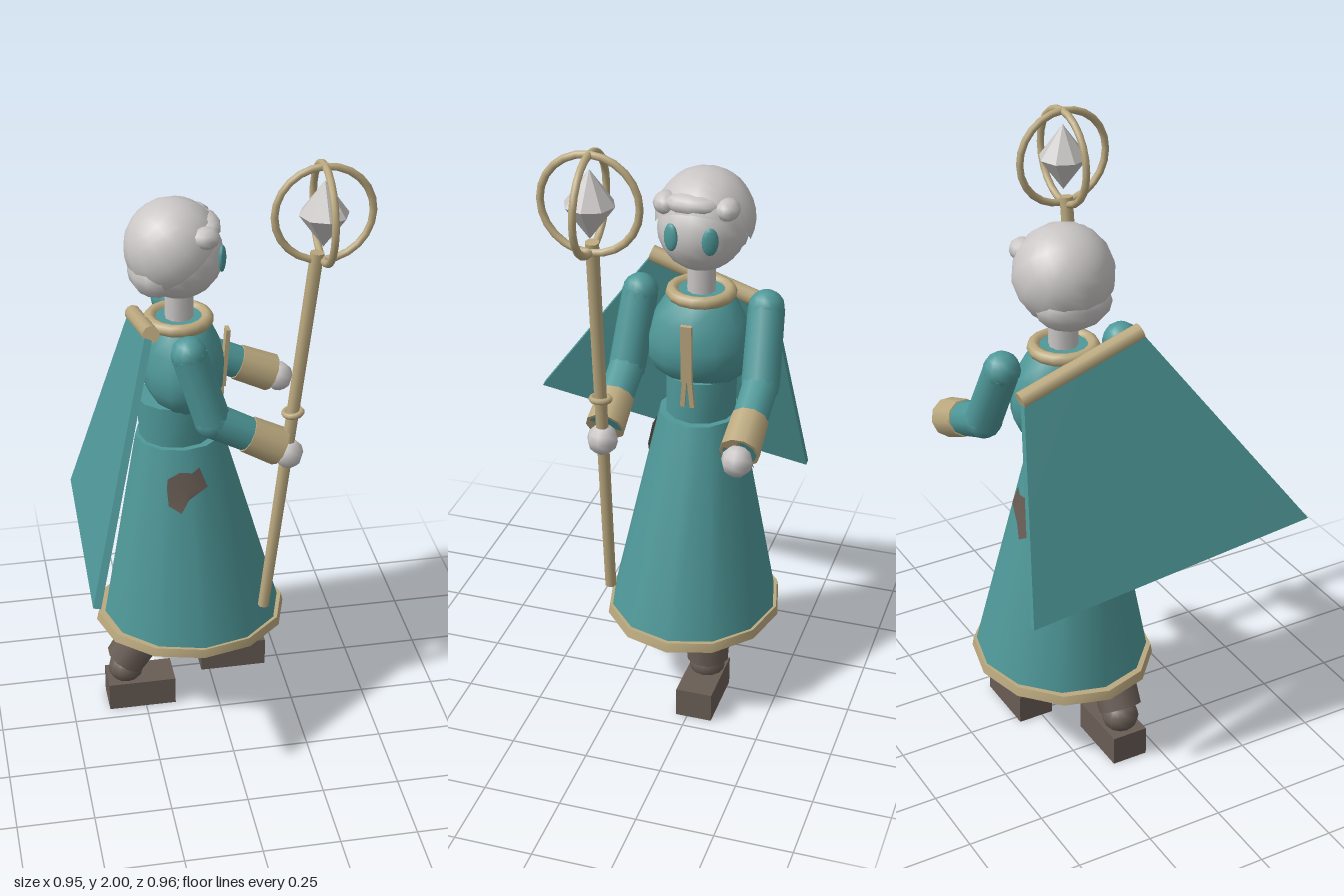
import * as THREE from 'three';
import { mergeVertices } from 'three/addons/utils/BufferGeometryUtils.js';

const mat = (name, color, extra = {}) => {
  const m = new THREE.MeshStandardMaterial({ color, ...extra });
  m.name = name;
  return m;
};
const V = (x, y, z) => new THREE.Vector3(x, y, z);

export function createModel() {
  const model = new THREE.Group();
  const teal = mat('tealCloth', 0x4f9899);
  const tan = mat('tanTrim', 0xbba97f);
  const pale = mat('palePorcelain', 0xc9c6c5);
  const brown = mat('brownLeather', 0x695d55);
  const facet = mat('paleCrystal', 0xc9c6c5);
  facet.flatShading = true;
  const patchMat = mat('brownPatch', 0x695d55);
  patchMat.side = THREE.DoubleSide;

  const add = (name, geo, material, parent = model) => {
    const mesh = new THREE.Mesh(geo, material);
    mesh.name = name;
    parent.add(mesh);
    return mesh;
  };
  const ball = (name, p, s, material, parent, ws = 12, hs = 8) => {
    const m = add(name, new THREE.SphereGeometry(1, ws, hs), material, parent);
    m.position.copy(p);
    m.scale.set(...(Array.isArray(s) ? s : [s, s, s]));
    return m;
  };
  // Tapered rod from a to b
  const rod = (name, a, b, ra, rb, material, parent, sides = 10) => {
    const dir = b.clone().sub(a);
    const m = add(name, new THREE.CylinderGeometry(rb, ra, dir.length(), sides), material, parent);
    m.position.copy(a).lerp(b, 0.5);
    m.quaternion.setFromUnitVectors(V(0, 1, 0), dir.normalize());
    return m;
  };
  // Closed loft through elliptical sections [y, cx, cz, rx, rz]
  const loft = (name, rows, material, sides = 12) => {
    const n = rows.length - 1;
    let g = new THREE.CylinderGeometry(1, 1, 1, sides, n);
    g.deleteAttribute('uv');
    g = mergeVertices(g);
    const p = g.attributes.position;
    for (let i = 0; i < p.count; i++) {
      const [y, cx, cz, rx, rz] = rows[Math.round((p.getY(i) + 0.5) * n)];
      p.setXYZ(i, cx + p.getX(i) * rx, y, cz + p.getZ(i) * rz);
    }
    g.computeVertexNormals();
    return add(name, g, material);
  };

  // Robe
  const low = [0.3, -0.065, -0.192, 0.302, 0.276];
  const high = [1.0, -0.104, -0.19, 0.144, 0.13];
  loft('skirt', [low, high], teal);
  loft('skirtHem', [[0.282, -0.07, -0.192, 0.325, 0.288], [0.312, -0.07, -0.192, 0.318, 0.283]], tan);
  loft('waist', [[0.97, -0.11, -0.193, 0.122, 0.114], [1.14, -0.112, -0.193, 0.128, 0.115]], teal);
  loft('chest', [
    [1.12, -0.095, -0.19, 0.07, 0.11], [1.15, -0.09, -0.19, 0.105, 0.145],
    [1.2, -0.088, -0.19, 0.132, 0.168], [1.26, -0.087, -0.19, 0.135, 0.168],
    [1.33, -0.09, -0.19, 0.122, 0.15], [1.39, -0.095, -0.19, 0.1, 0.115],
    [1.42, -0.1, -0.19, 0.075, 0.085]], teal);

  // Ragged patches that follow both sides of the skirt
  const outline = [[-0.035, 0.87], [-0.06, 0.94], [-0.085, 0.925], [-0.125, 0.93], [-0.165, 0.905],
    [-0.168, 0.87], [-0.165, 0.815], [-0.125, 0.79], [-0.1, 0.835]];
  for (const s of [1, -1]) {
    const g = new THREE.CircleGeometry(1, outline.length);
    const p = g.attributes.position;
    for (let i = 0; i < p.count; i++) {
      const [x, y] = i ? outline[(i - 1) % outline.length] : [-0.1, 0.875];
      const t = (y - low[0]) / (high[0] - low[0]);
      const [, cx, cz, rx, rz] = low.map((v, k) => v + (high[k] - v) * t);
      p.setXYZ(i, x, y, cz + s * (rz * Math.sqrt(1 - ((x - cx) / rx) ** 2) + 0.007));
    }
    g.computeVertexNormals();
    add('skirtPatch', g, patchMat);
  }

  // Collar and hanging ribbon
  const collar = add('collar', new THREE.TorusGeometry(0.092, 0.021, 8, 16), tan);
  collar.position.set(-0.1, 1.412, -0.19);
  collar.rotation.x = Math.PI / 2;
  const ribbon = add('ribbon', new THREE.BoxGeometry(0.014, 0.2, 0.036), tan);
  ribbon.position.set(0.05, 1.262, -0.188);
  ribbon.rotation.z = -0.08;
  for (const s of [1, -1]) {
    const tail = add('ribbonTail', new THREE.BoxGeometry(0.012, 0.12, 0.015), tan);
    tail.position.set(0.036, 1.13, -0.188 + s * 0.011);
    tail.rotation.set(-s * 0.08, 0, -0.08);
  }

  // Head, hair and eyes
  const head = new THREE.Group();
  head.name = 'head';
  model.add(head);
  rod('neck', V(-0.098, 1.38, -0.19), V(-0.098, 1.53, -0.19), 0.046, 0.046, pale, head);
  ball('face', V(-0.096, 1.635, -0.19), [0.14, 0.14, 0.14], pale, head, 16, 12);
  const cap = add('hairCap', new THREE.SphereGeometry(0.156, 14, 9, 0, Math.PI * 2, 0, 1.87), pale, head);
  cap.position.set(-0.113, 1.66, -0.195);
  cap.rotation.z = 0.68;
  ball('hairBack', V(-0.172, 1.59, -0.194), [0.088, 0.085, 0.125], pale, head);
  ball('fringe', V(-0.012, 1.735, -0.18), [0.045, 0.034, 0.09], pale, head, 10, 7);
  for (const s of [1, -1]) {
    ball('sideCurl', V(-0.03, 1.725, -0.19 + s * 0.095), [0.048, 0.036, 0.042], pale, head, 10, 6);
    const eye = ball('eye', V(0.029, 1.638, -0.189 + s * 0.062), [0.012, 0.045, 0.026], teal, head);
    eye.rotation.y = -s * 0.4;
  }

  // Arms
  const arm = (name, shoulder, elbow, wrist, hand) => {
    const g = new THREE.Group();
    g.name = name;
    model.add(g);
    ball('shoulder', shoulder, 0.058, teal, g);
    rod('upperArm', shoulder, elbow, 0.058, 0.06, teal, g);
    ball('elbow', elbow, 0.06, teal, g);
    rod('forearm', elbow, wrist, 0.058, 0.054, teal, g);
    rod('cuff', wrist.clone().lerp(elbow, 0.48), wrist, 0.06, 0.064, tan, g);
    ball('hand', hand, 0.05, pale, g, 8, 6);
  };
  arm('staffArm', V(-0.1, 1.385, 0.01), V(-0.03, 1.155, 0.03), V(0.185, 1.04, 0.033), V(0.214, 1.012, 0.032));
  arm('freeArm', V(-0.1, 1.385, -0.4), V(0.005, 1.17, -0.415), V(0.25, 1.06, -0.417), V(0.275, 1.045, -0.417));

  // Legs and boots
  const leg = (name, hip, knee, ankle, bootX) => {
    const g = new THREE.Group();
    g.name = name;
    model.add(g);
    rod('trouser', hip, knee, 0.08, 0.07, brown, g);
    ball('ankle', ankle, [0.06, 0.055, 0.06], brown, g);
    const boot = add('boot', new THREE.BoxGeometry(0.228, 0.1, 0.12), brown, g);
    boot.position.set(bootX, 0.05, ankle.z);
  };
  leg('backLeg', V(-0.185, 0.36, -0.107), V(-0.312, 0.165, -0.107), V(-0.31, 0.135, -0.107), -0.262);
  leg('frontLeg', V(0.028, 0.36, -0.272), V(0.037, 0.14, -0.272), V(0.038, 0.12, -0.272), 0.085);

  // Staff with crossed rings and a crystal
  const staff = new THREE.Group();
  staff.name = 'staff';
  model.add(staff);
  rod('staffPole', V(0.14, 0.43, 0.033), V(0.292, 1.71, 0.033), 0.019, 0.022, tan, staff, 8);
  const band = add('staffBand', new THREE.TorusGeometry(0.028, 0.01, 6, 12), tan, staff);
  band.position.set(0.227, 1.16, 0.033);
  band.rotation.set(Math.PI / 2, 0.12, 0);
  for (const turn of [0, Math.PI / 2]) {
    const ring = add('staffRing', new THREE.TorusGeometry(0.152, 0.012, 8, 24), tan, staff);
    ring.position.set(0.31, 1.836, 0.033);
    ring.rotation.y = turn;
  }
  for (const s of [1, -1]) {
    const half = add('crystalHalf', new THREE.ConeGeometry(0.078, 0.108, 8), facet, staff);
    half.position.set(0.31, 1.836 + s * 0.054, 0.033);
    if (s < 0) half.rotation.x = Math.PI;
  }

  // Cape hanging from a slanted bar
  rod('capeBar', V(-0.217, 1.465, 0.01), V(-0.217, 1.335, -0.4), 0.027, 0.027, tan, model);
  const corners = [[-0.222, 1.465, 0.005], [-0.222, 1.335, -0.395], [-0.465, 0.8, 0.48], [-0.425, 0.67, -0.48]];
  const cape = new THREE.BoxGeometry(1, 1, 1);
  const p = cape.attributes.position;
  for (let i = 0; i < p.count; i++) {
    const [x, y, z] = corners[(p.getY(i) > 0 ? 0 : 2) + (p.getZ(i) > 0 ? 0 : 1)];
    p.setXYZ(i, x + p.getX(i) * 0.024, y - p.getX(i) * 0.006, z);
  }
  cape.computeVertexNormals();
  add('cape', cape, teal);

  return model;
}
